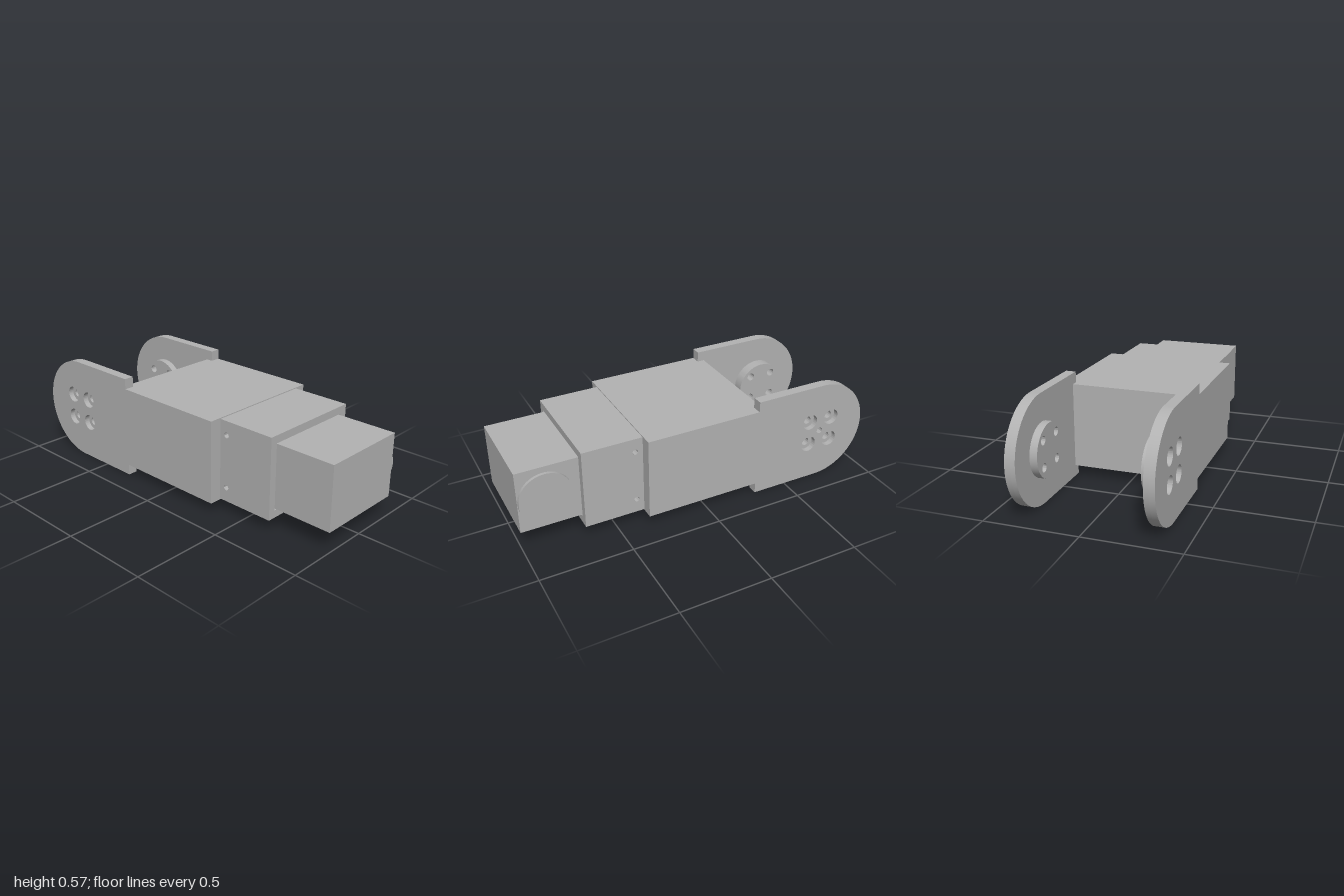
import * as THREE from 'three';
import { toCreasedNormals } from 'three/addons/utils/BufferGeometryUtils.js';

const CY = 0.287;          // height of the centre line
const PIVOT = -0.715;      // x of the joint axis
const grey = new THREE.MeshStandardMaterial({ color: 0xb2b2b2 });
grey.name = 'machined grey';

function addMesh(parent, name, geometry) {
  const mesh = new THREE.Mesh(geometry, grey);
  mesh.name = name;
  parent.add(mesh);
  return mesh;
}

function box(parent, name, [x0, x1], [y0, y1], [z0, z1]) {
  const g = new THREE.BoxGeometry(x1 - x0, y1 - y0, z1 - z0);
  g.translate((x0 + x1) / 2, (y0 + y1) / 2, (z0 + z1) / 2);
  return addMesh(parent, name, g);
}

// Extrudes an x-y outline from z0 to z1, with round holes given as [x, y, radius].
function slab(parent, name, shape, holes, z0, z1) {
  for (const [x, y, r] of holes) {
    shape.holes.push(new THREE.Path().absarc(x, y, r, 0, Math.PI * 2, true));
  }
  const g = new THREE.ExtrudeGeometry(shape, { depth: z1 - z0, bevelEnabled: false, curveSegments: 40 });
  g.translate(0, 0, z0);
  return addMesh(parent, name, toCreasedNormals(g, 0.6));
}

function polygon(points) {
  return new THREE.Shape(points.map(([x, y]) => new THREE.Vector2(x, y)));
}

function disc(x, y, r) {
  return new THREE.Shape().absarc(x, y, r, 0, Math.PI * 2, false);
}

// Fork arm outline with a rounded free end
function armOutline() {
  const s = new THREE.Shape();
  s.moveTo(-0.305, 0);
  s.lineTo(-0.305, 2 * CY);
  s.lineTo(-1 + CY, 2 * CY);
  s.absarc(-1 + CY, CY, CY, Math.PI / 2, Math.PI * 1.5, false);
  return s;
}

function boltHoles(r) {
  const holes = [];
  for (const dx of [-0.07, 0.07]) for (const dy of [-0.07, 0.07]) holes.push([PIVOT + dx, CY + 0.003 + dy, r]);
  return holes;
}

// One fork arm: counterbored outer layer, drilled inner layer and horn disc
function forkArm(side, hornEnd, extraHoles) {
  const arm = new THREE.Group();
  const span = (a, b) => (side > 0 ? [a, b] : [-b, -a]);
  slab(arm, 'armOuterLayer', armOutline(), [...boltHoles(0.046), ...extraHoles], ...span(0.335, 0.365));
  slab(arm, 'armInnerLayer', armOutline(), [...boltHoles(0.023), ...extraHoles], ...span(0.31, 0.335));
  slab(arm, 'hornDisc', disc(PIVOT, CY, 0.142), boltHoles(0.023), ...span(hornEnd, 0.31));
  return arm;
}

export function createModel() {
  const model = new THREE.Group();
  model.name = 'armLink';

  // Fork arms; only the rear one has a centre hole
  const front = forkArm(1, 0.25, []);
  front.name = 'frontForkArm';
  const back = forkArm(-1, 0.27, [[PIVOT, CY + 0.003, 0.018]]);
  back.name = 'backForkArm';
  model.add(front, back);

  // Main body, stepped in plan where it meets the arms
  const plan = polygon([
    [-0.345, -0.31], [-0.305, -0.31], [-0.305, -0.365], [0.343, -0.365],
    [0.343, 0.365], [-0.305, 0.365], [-0.305, 0.31], [-0.345, 0.31],
  ]);
  const body = slab(model, 'mainBody', plan, [], 0, 0.456);
  body.rotation.x = -Math.PI / 2;
  body.position.y = 0.06;

  // Hollow sleeve: drilled side walls, plain top and bottom walls
  const sleeve = new THREE.Group();
  sleeve.name = 'sleeve';
  model.add(sleeve);
  const X = [0.343, 0.673], Y = [0.065, 0.511];
  for (const [name, z0, z1] of [['sleeveFrontWall', 0.258, 0.299], ['sleeveBackWall', -0.299, -0.258]]) {
    const wall = polygon([[X[0], Y[0]], [X[1], Y[0]], [X[1], Y[1]], [X[0], Y[1]]]);
    slab(sleeve, name, wall, [[0.385, 0.143, 0.015], [0.385, 0.434, 0.015]], z0, z1);
  }
  box(sleeve, 'sleeveTopWall', X, [0.469, Y[1]], [-0.258, 0.258]);
  box(sleeve, 'sleeveBottomWall', X, [Y[0], 0.106], [-0.258, 0.258]);

  // Motor seated in the sleeve, with its output disc at the back
  box(model, 'motorBody', [0.343, 1], [0.112, 0.463], [-0.251, 0.251]);
  slab(model, 'motorDisc', disc(0.855, CY + 0.001, 0.142), [], -0.267, -0.251);

  return model;
}
